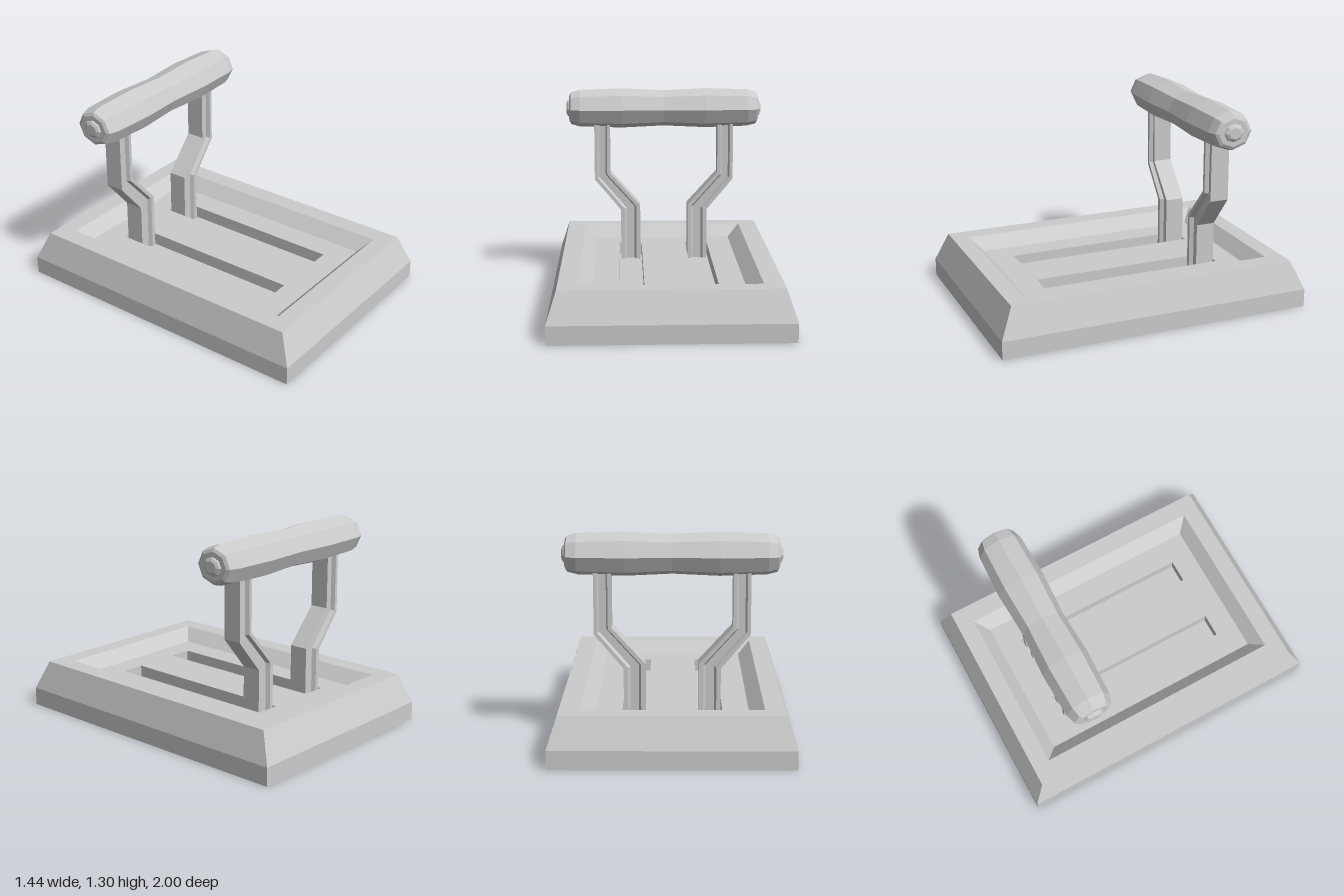
import * as THREE from 'three';

const material = new THREE.MeshStandardMaterial({ color: 0xcccccc, flatShading: true });

function addMesh(parent, name, geometry) {
  const flat = geometry.index ? geometry.toNonIndexed() : geometry;
  flat.computeVertexNormals();
  const mesh = new THREE.Mesh(flat, material);
  mesh.name = name;
  parent.add(mesh);
  return mesh;
}

// Skins a stack of equal-length closed rings of [x, y, z] points
function loft(rings, { capStart = false, capEnd = false } = {}) {
  const pos = [];
  const n = rings[0].length;
  const tri = (a, b, c) => pos.push(...a, ...b, ...c);
  for (let k = 0; k < rings.length - 1; k++) {
    const a = rings[k], b = rings[k + 1];
    for (let i = 0; i < n; i++) {
      const j = (i + 1) % n;
      tri(a[i], a[j], b[j]);
      tri(a[i], b[j], b[i]);
    }
  }
  const last = rings[rings.length - 1];
  for (let i = 1; i < n - 1; i++) {
    if (capStart) tri(rings[0][0], rings[0][i + 1], rings[0][i]);
    if (capEnd) tri(last[0], last[i], last[i + 1]);
  }
  const g = new THREE.BufferGeometry();
  g.setAttribute('position', new THREE.Float32BufferAttribute(pos, 3));
  return g;
}

const rect = (hx, hz, y, cx = 0) => [
  [cx - hx, y, hz], [cx + hx, y, hz], [cx + hx, y, -hz], [cx - hx, y, -hz],
];

const FLOOR = 0.22, SLOT_FLOOR = 0.14, SLOT_X = 0.225, SLOT_HX = 0.075, SLOT_HZ = 0.585;
const HANDLE_Y = 1.165, HANDLE_Z = -0.51;

function createBase() {
  const base = new THREE.Group();
  base.name = 'base';

  // Bevelled block with a sloped tray sunk into the top
  addMesh(base, 'baseBody', loft([
    rect(0.72, 1, 0),
    rect(0.72, 1, 0.115),
    rect(0.66, 0.92, 0.3),
    rect(0.54, 0.81, 0.3),
    rect(0.46, 0.735, FLOOR),
  ], { capStart: true }));

  // Tray floor pierced by two slots
  const outline = (hx, hz, cx, Type) => new Type(
    rect(hx, hz, 0, cx).map(([x, , z]) => new THREE.Vector2(x, -z)));
  const floor = outline(0.46, 0.735, 0, THREE.Shape);
  for (const side of [-1, 1]) {
    floor.holes.push(outline(SLOT_HX, SLOT_HZ, side * SLOT_X, THREE.Path));
  }
  const floorGeometry = new THREE.ShapeGeometry(floor);
  floorGeometry.rotateX(-Math.PI / 2);
  floorGeometry.translate(0, FLOOR, 0);
  addMesh(base, 'trayFloor', floorGeometry);

  // Slot walls and bottoms
  for (const side of [-1, 1]) {
    addMesh(base, side > 0 ? 'leftSlot' : 'rightSlot', loft([
      rect(SLOT_HX, SLOT_HZ, FLOOR, side * SLOT_X),
      rect(SLOT_HX, SLOT_HZ, SLOT_FLOOR, side * SLOT_X),
    ], { capEnd: true }));
  }
  return base;
}

// Cranked arm with a groove down its front and back
function createArm(side) {
  const front = [[0, 0.06], [0.2, 0.06], [0.3, 0.035], [0.7, 0.035], [0.8, 0.06], [1, 0.06]];
  const section = [...front, ...front.map(([t, z]) => [t, -z]).reverse()];
  // Each level: inner edge x, y and outer edge x, y
  const levels = [
    [0.16, SLOT_FLOOR, 0.29, SLOT_FLOOR],
    [0.16, 0.51, 0.29, 0.48],
    [0.36, 0.73, 0.465, 0.69],
    [0.36, 1.12, 0.465, 1.12],
  ];
  const rings = levels.map(([xi, yi, xo, yo]) => {
    const ring = section.map(([t, z]) => [
      side * THREE.MathUtils.lerp(xi, xo, t),
      THREE.MathUtils.lerp(yi, yo, t),
      HANDLE_Z + z,
    ]);
    return side > 0 ? ring : ring.reverse();
  });
  return loft(rings);
}

// Eight-sided grip, waisted in the middle, with stepped end knobs
function createHandle() {
  const half = [
    [0.135, 0], [0.15, 0.28], [0.14, 0.56], [0.122, 0.62], [0.1, 0.63],
    [0.065, 0.63], [0.06, 0.64], [0.04, 0.65], [0, 0.65],
  ];
  const profile = [
    ...half.slice(1).reverse().map(([r, x]) => new THREE.Vector2(r, -x)),
    ...half.map(([r, x]) => new THREE.Vector2(r, x)),
  ];
  const g = new THREE.LatheGeometry(profile, 8);
  g.rotateZ(-Math.PI / 2);
  g.scale(1, 0.88, 1);
  return g;
}

export function createModel() {
  const model = new THREE.Group();
  model.name = 'slidingLever';
  model.add(createBase());
  addMesh(model, 'leftArm', createArm(1));
  addMesh(model, 'rightArm', createArm(-1));
  addMesh(model, 'handle', createHandle()).position.set(0, HANDLE_Y, HANDLE_Z);
  return model;
}
